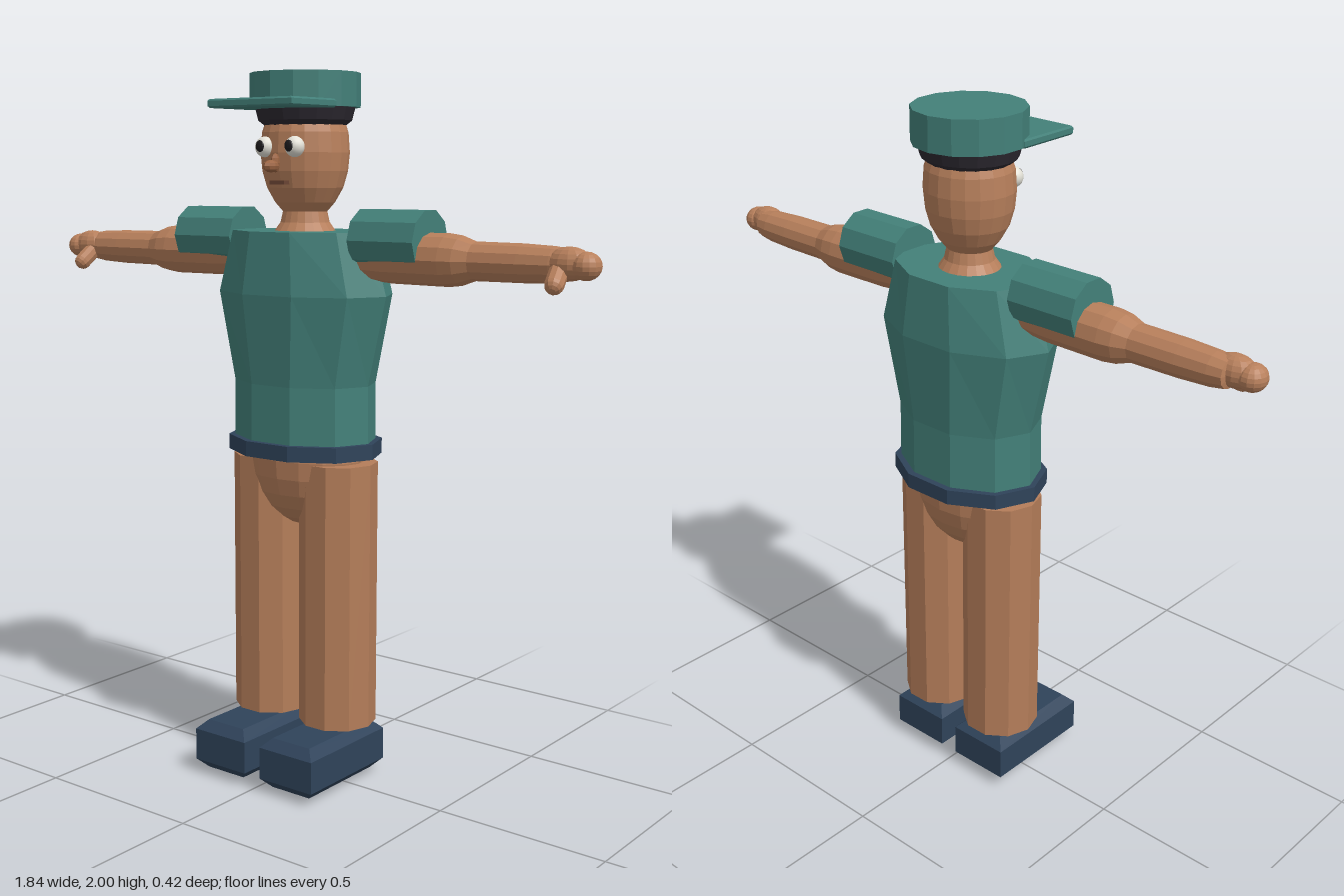
import * as THREE from 'three';

const mat = (name, color, flatShading = true) => {
  const m = new THREE.MeshStandardMaterial({ color, flatShading });
  m.name = name;
  return m;
};

export function createModel() {
  const model = new THREE.Group();
  model.name = 'figure';
  const teal = mat('teal cloth', 0x438079);
  const navy = mat('navy leather', 0x2f435a);
  const brown = mat('brown cloth', 0xb47d59);
  const skin = mat('skin', 0xb8805c);
  const noseTone = mat('nose brown', 0x9c6543);
  const hairTone = mat('dark hair', 0x2c2830);
  const white = mat('eye white', 0xe4e2d8, false);
  const black = mat('pupil black', 0x1c1a1c);
  const lip = mat('lip brown', 0x6b4434);
  const Z = -0.033; // shared body axis

  const add = (name, geometry, material, x = 0, y = 0, z = 0, parent = model) => {
    const mesh = new THREE.Mesh(geometry, material);
    mesh.name = name;
    mesh.position.set(x, y, z);
    parent.add(mesh);
    return mesh;
  };
  // Turned shape from [radius, height] pairs, bottom to top, squashed in z
  const turned = (profile, sides, depth = 1) =>
    new THREE.LatheGeometry(profile.map(p => new THREE.Vector2(...p)), sides, Math.PI / 2)
      .scale(1, 1, depth);
  const ball = (rx, ry, rz, w = 14, h = 10) =>
    new THREE.SphereGeometry(1, w, h).scale(rx, ry, rz);

  // Shirt: ten-sided, flatter front to back at the chest
  const shirt = turned([[0, 0.97], [0.222, 0.97], [0.22, 1.15], [0.278, 1.4], [0.225, 1.572], [0, 1.572]], 10);
  const pos = shirt.attributes.position;
  for (let i = 0; i < pos.count; i++) {
    const chest = Math.max(0, 1 - Math.abs(pos.getY(i) - 1.4) / 0.17);
    pos.setZ(i, pos.getZ(i) * (0.74 - 0.09 * chest));
  }
  shirt.computeVertexNormals();
  add('shirt', shirt, teal, 0, 0, Z);
  add('belt', turned([[0, 0.947], [0.238, 0.947], [0.238, 0.99], [0, 0.99]], 10, 0.77), navy, 0, 0, Z);
  add('pelvis', ball(0.19, 0.2, 0.132, 16, 12), skin, 0, 0.935, Z);

  // Head, neck and face
  add('head', turned([[0, 1.55], [0.095, 1.56], [0.07, 1.595], [0.063, 1.625], [0.085, 1.65], [0.108, 1.69],
    [0.121, 1.735], [0.126, 1.785], [0.122, 1.84], [0.105, 1.89], [0, 1.9]], 20, 0.95), skin, 0, 0, Z);
  add('hair', turned([[0, 1.855], [0.11, 1.855], [0.132, 1.872], [0.142, 1.91], [0, 1.915]], 18, 0.95), hairTone, 0, 0, Z);
  add('nose', ball(0.017, 0.017, 0.028, 8, 6), noseTone, 0, 1.748, 0.117);
  add('noseBridge', ball(0.01, 0.026, 0.016, 8, 6), noseTone, 0, 1.757, 0.098);
  add('mouth', new THREE.BoxGeometry(0.05, 0.011, 0.03), lip, 0, 1.704, 0.077);

  // Cap
  add('capCrown', new THREE.CylinderGeometry(0.153, 0.153, 0.093, 14), teal, 0, 1.9535, Z);
  const peak = new THREE.Shape();
  peak.moveTo(-0.14, 0.02);
  peak.lineTo(0.14, 0.02);
  peak.lineTo(0.14, 0.205);
  peak.lineTo(-0.14, 0.205);
  peak.closePath();
  const peakGeometry = new THREE.ExtrudeGeometry(peak, {
    depth: 0.014, bevelEnabled: true, bevelThickness: 0.005, bevelSize: 0.004, bevelSegments: 1,
  }).rotateX(Math.PI / 2);
  add('capPeak', peakGeometry, teal, 0, 1.921, 0);

  // Shoe block: chamfered box
  const w = 0.065, d = 0.145, b = 0.027;
  const sole = new THREE.Shape([[-w, -d], [w, -d], [w, d], [-w, d]].map(p => new THREE.Vector2(...p)));
  const shoe = new THREE.ExtrudeGeometry(sole, {
    depth: 0.092, bevelEnabled: true, bevelThickness: b, bevelSize: b, bevelSegments: 1,
  }).rotateX(-Math.PI / 2);

  for (const side of [1, -1]) {
    const half = new THREE.Group();
    half.name = side > 0 ? 'leftSide' : 'rightSide';
    half.scale.x = side;
    model.add(half);
    const put = (name, geometry, material, x, y, z) => add(name, geometry, material, x, y, z, half);

    // Eye
    put('eye', ball(0.028, 0.028, 0.026, 16, 12), white, 0.052, 1.8, 0.079);
    put('pupil', ball(0.014, 0.016, 0.006, 12, 8), black, 0.05, 1.802, 0.103);

    // Leg, ankle, shoe and foot sole
    put('trouserLeg', new THREE.CylinderGeometry(0.111, 0.111, 0.76, 10, 1, false, Math.PI / 2), brown, 0.12, 0.55, Z);
    put('ankle', new THREE.CylinderGeometry(0.065, 0.065, 0.08, 12), skin, 0.12, 0.15, Z);
    put('shoe', shoe, navy, 0.12, 0.04, 0.038);
    put('footSole', ball(0.045, 0.03, 0.085), skin, 0.12, 0.03, 0.035);

    // Arm, turned along its length then laid sideways
    const arm = turned([[0, 0.18], [0.06, 0.19], [0.069, 0.3], [0.07, 0.48], [0.065, 0.52], [0.051, 0.56],
      [0.05, 0.7], [0.046, 0.79], [0.04, 0.83], [0, 0.84]], 12).rotateZ(-Math.PI / 2);
    put('arm', arm, skin, 0, 1.506, Z);
    put('sleeve', new THREE.CylinderGeometry(0.086, 0.086, 0.21, 10).rotateZ(Math.PI / 2), teal, 0.312, 1.552, Z);

    // Hand with curled fingers and thumb
    put('palm', ball(0.062, 0.043, 0.04), skin, 0.835, 1.51, -0.02);
    put('fingers', ball(0.038, 0.036, 0.04), skin, 0.883, 1.506, -0.018);
    const thumb = put('thumb', new THREE.CapsuleGeometry(0.025, 0.05, 4, 10), skin, 0.82, 1.477, 0.015);
    thumb.rotation.set(-0.85, 0, 0.15);
  }
  return model;
}
